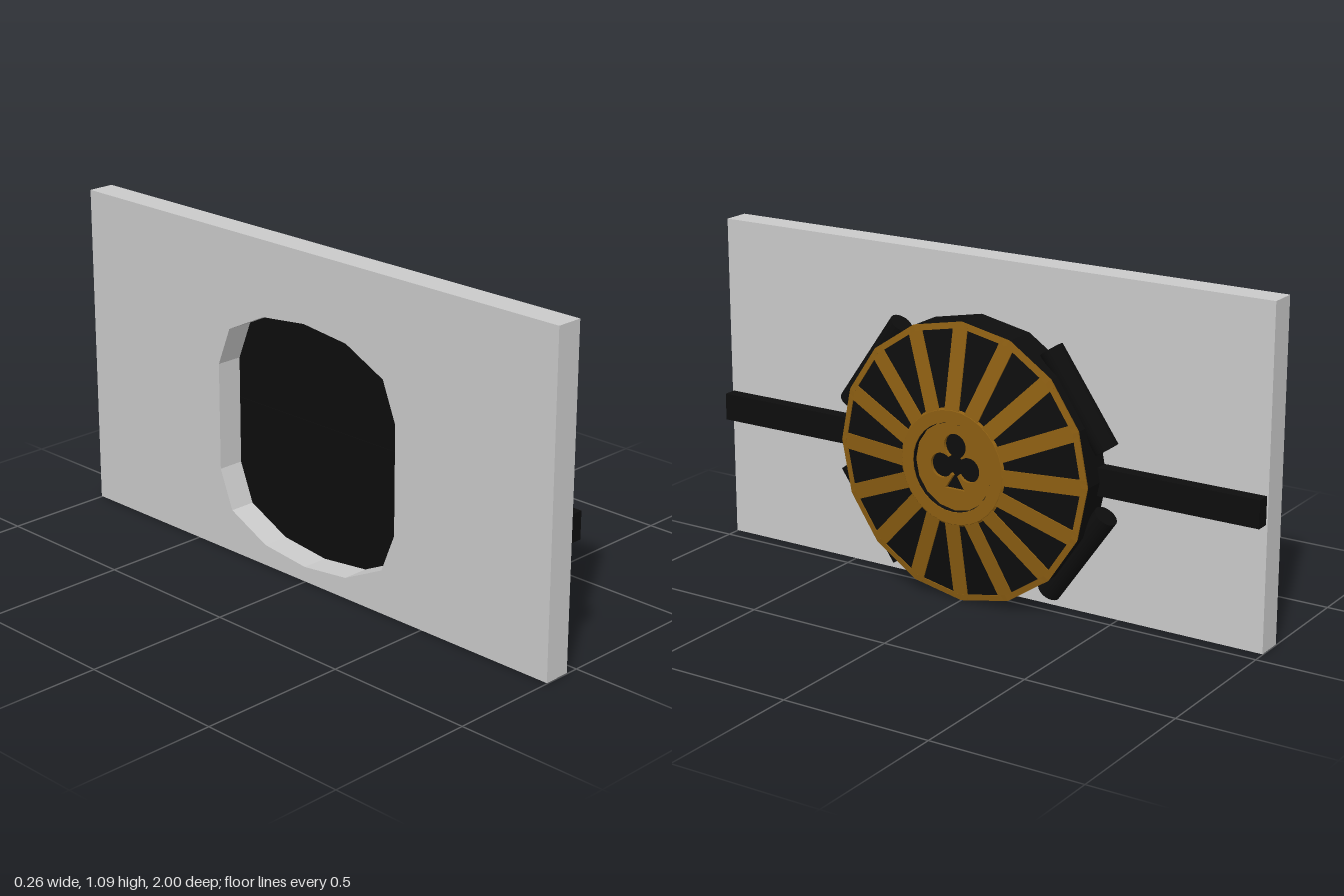
import * as THREE from 'three';

const black = new THREE.MeshStandardMaterial({ color: 0x0d0d0d });
black.name = 'black';
const gold = new THREE.MeshStandardMaterial({ color: 0x8c5e12 });
gold.name = 'gold';
const grey = new THREE.MeshStandardMaterial({ color: 0xcacaca });
grey.name = 'light grey';

const CY = 0.455; // height of the wheel axis
const SIDES = 16;

function add(parent, name, geometry, material, x = 0, y = 0, z = 0) {
  const mesh = new THREE.Mesh(geometry, material);
  mesh.name = name;
  mesh.position.set(x, y, z);
  parent.add(mesh);
  return mesh;
}

// Faceted solid turned about the x axis; points are [radius, x]
function turned(points, sides) {
  const lathe = new THREE.LatheGeometry(points.map(p => new THREE.Vector2(...p)), sides);
  lathe.rotateZ(-Math.PI / 2);
  const flat = lathe.toNonIndexed();
  flat.computeVertexNormals();
  return flat;
}

// Extrudes a shape along +x, starting at x = 0 (shape x runs towards -z)
function extrudeX(shape, depth) {
  const g = new THREE.ExtrudeGeometry(shape, { depth, bevelEnabled: false, curveSegments: 16 });
  return g.rotateY(Math.PI / 2);
}

export function createModel() {
  const model = new THREE.Group();
  model.name = 'wheelDoor';

  // Wall slab with a rounded opening
  const wall = new THREE.Shape([[-1, 0], [1, 0], [1, 1.09], [-1, 1.09]].map(p => new THREE.Vector2(...p)));
  const quarter = [[0.387, 0.18], [0.335, 0.31], [0.18, 0.385], [0, 0.405]];
  const half = [...quarter, ...quarter.slice(0, 3).reverse().map(([u, v]) => [-u, v])];
  const ring = [...half, ...half.map(([u, v]) => [-u, -v])];
  wall.holes.push(new THREE.Path(ring.map(([u, v]) => new THREE.Vector2(u, v + CY))));
  add(model, 'wall', extrudeX(wall, 0.09), grey, -0.134);

  // Horizontal rail
  add(model, 'rail', new THREE.BoxGeometry(0.045, 0.09, 1.99), black, -0.0215, CY);

  const wheel = new THREE.Group();
  wheel.name = 'wheel';
  wheel.position.y = CY;
  model.add(wheel);

  // Drum with a shallow cone face and a recess for the hub
  add(wheel, 'drum', turned([[0, -0.042], [0.455, -0.042], [0.455, 0.075], [0.185, 0.127],
    [0.145, 0.127], [0.145, 0.09], [0, 0.09]], SIDES), black);

  // Gold rim and hub ring
  add(wheel, 'rim', turned([[0.455, 0.07], [0.457, 0.078], [0.437, 0.082], [0.437, 0.076]], SIDES), gold);
  add(wheel, 'hubRing', turned([[0.195, 0.122], [0.185, 0.131], [0.145, 0.131], [0.145, 0.126]], 32), gold);

  // Spokes lying on the cone
  const rise = 0.052, run = 0.27;
  for (let i = 0; i < SIDES; i++) {
    const arm = new THREE.Group();
    arm.name = 'spokeArm';
    arm.rotation.x = (i / SIDES) * Math.PI * 2;
    wheel.add(arm);
    const spoke = add(arm, 'spoke', new THREE.BoxGeometry(0.007, Math.hypot(rise, run), 0.052), gold, 0.1015, 0.314);
    spoke.rotation.z = Math.atan2(rise, run);
  }

  // Recessed hub plate with a trefoil cut-out
  const rad = THREE.MathUtils.degToRad;
  const plate = new THREE.Shape().absarc(0, 0, 0.146, 0, Math.PI * 2);
  const trefoil = new THREE.Path();
  trefoil.absarc(0, 0.065, 0.04, rad(-60), rad(240));
  trefoil.absarc(-0.05, -0.005, 0.04, rad(50), rad(330));
  trefoil.lineTo(-0.008, -0.032);
  trefoil.lineTo(-0.036, -0.076);
  trefoil.lineTo(0.036, -0.076);
  trefoil.lineTo(0.008, -0.032);
  trefoil.absarc(0.05, -0.005, 0.04, rad(210), rad(490));
  plate.holes.push(trefoil);
  add(wheel, 'hubPlate', extrudeX(plate, 0.012), gold, 0.1);

  // Four round clamps around the drum
  for (const sy of [-1, 1]) {
    for (const sz of [-1, 1]) {
      const a = rad(35);
      const clamp = add(wheel, 'clamp', new THREE.CylinderGeometry(0.039, 0.039, 0.35, 20), black,
        -0.003, sy * (Math.sin(a) * 0.452 - 0.01), sz * (Math.cos(a) * 0.452 + 0.006));
      clamp.rotation.x = -sy * sz * a;
    }
  }
  return model;
}
